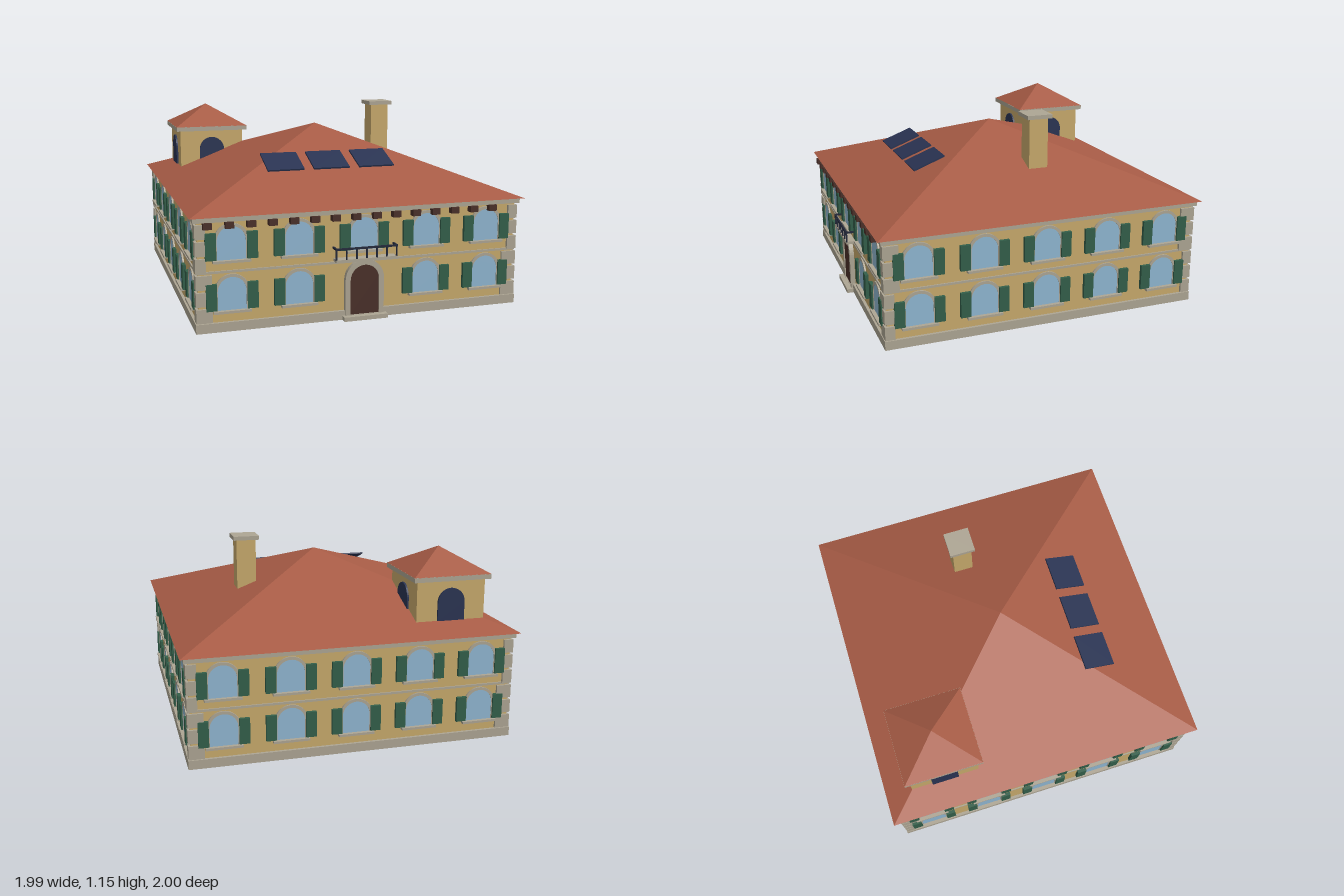
import * as THREE from 'three';

const mat = (name, color, extra = {}) => {
  const m = new THREE.MeshStandardMaterial({ color, ...extra });
  m.name = name;
  return m;
};

export function createModel() {
  const M = {
    wall: mat('ochre plaster', 0xc8aa6c),
    roof: mat('terracotta', 0xa85c46),
    stone: mat('pale stone', 0xaea694),
    glass: mat('window glass', 0x90b7d2),
    shutter: mat('green shutter', 0x335f4a),
    wood: mat('dark wood', 0x4a3029),
    navy: mat('dark blue', 0x2a3453),
    iron: mat('iron', 0x23293a),
  };
  const model = new THREE.Group();
  model.name = 'villa';
  const house = new THREE.Group();
  house.name = 'house';
  house.position.z = -0.007;
  model.add(house);

  const add = (parent, name, geo, material, x = 0, y = 0, z = 0) => {
    const m = new THREE.Mesh(geo, material);
    m.name = name;
    m.position.set(x, y, z);
    parent.add(m);
    return m;
  };
  // Box given by its centre in x and z and its lower and upper y
  const box = (parent, name, material, w, y0, y1, d, x = 0, z = 0) =>
    add(parent, name, new THREE.BoxGeometry(w, y1 - y0, d), material, x, (y0 + y1) / 2, z);
  // Four-sided roof with a closed base
  const pyramid = (parent, name, half, y0, y1, x = 0, z = 0) => {
    const g = new THREE.ConeGeometry(half * Math.SQRT2, y1 - y0, 4, 1).toNonIndexed();
    g.rotateY(Math.PI / 4);
    g.computeVertexNormals();
    return add(parent, name, g, M.roof, x, (y0 + y1) / 2, z);
  };
  // Round-headed outline: straight sides with a half circle on top
  const trace = (path, r, y0, top) => {
    path.moveTo(-r, y0);
    path.lineTo(r, y0);
    path.lineTo(r, top - r);
    path.absarc(0, top - r, r, 0, Math.PI, false);
    path.lineTo(-r, y0);
    return path;
  };
  const extrude = (shape, depth) =>
    new THREE.ExtrudeGeometry(shape, { depth, bevelEnabled: false, curveSegments: 12 });
  const archPlate = (r, y0, top, depth) => extrude(trace(new THREE.Shape(), r, y0, top), depth);
  const archRing = (ro, ri, y0, topO, topI, depth) => {
    const s = trace(new THREE.Shape(), ro, y0, topO);
    s.holes.push(trace(new THREE.Path(), ri, y0 + 0.002, topI));
    return extrude(s, depth);
  };

  // Main volume, plinth, belt course and cornice
  const W = 0.948;
  box(house, 'plinth', M.stone, 1.93, 0, 0.053, 1.93);
  box(house, 'walls', M.wall, 2 * W, 0.053, 0.616, 2 * W);
  box(house, 'beltCourse', M.stone, 1.912, 0.329, 0.342, 1.912);
  box(house, 'cornice', M.stone, 1.944, 0.615, 0.646, 1.944);
  pyramid(house, 'mainRoof', 0.993, 0.645, 1.024);

  // Corner quoins, long and short sides alternating
  for (const sx of [-1, 1]) for (const sz of [-1, 1]) {
    for (let i = 0; i < 6; i++) {
      const w = i % 2 ? 0.058 : 0.09, d = i % 2 ? 0.09 : 0.058, y = 0.056 + i * 0.0935;
      box(house, 'quoin', M.stone, w, y, y + 0.079, d, sx * (0.962 - w / 2), sz * (0.962 - d / 2));
    }
  }

  // Windows with arched surround, sill and shutters
  const frameGeo = archRing(0.097, 0.08, 0, 0.205, 0.188, 0.01);
  const glassGeo = archPlate(0.081, 0, 0.189, 0.006);
  const makeWindow = (parent, x, y) => {
    const g = new THREE.Group();
    g.name = 'window';
    g.position.set(x, y, W);
    parent.add(g);
    add(g, 'windowFrame', frameGeo, M.stone);
    add(g, 'windowGlass', glassGeo, M.glass);
    box(g, 'sill', M.stone, 0.21, -0.012, 0.002, 0.028, 0, 0.014);
    for (const s of [-1, 1]) box(g, 'shutter', M.shutter, 0.06, 0.005, 0.155, 0.02, s * 0.115, 0.01);
  };
  ['front', 'leftSide', 'back', 'rightSide'].forEach((name, k) => {
    const facade = new THREE.Group();
    facade.name = name + 'Facade';
    facade.rotation.y = k * Math.PI / 2;
    house.add(facade);
    for (let i = -2; i <= 2; i++) {
      makeWindow(facade, i * 0.381, 0.399);
      if (k !== 0 || i !== 0) makeWindow(facade, i * 0.381, 0.117);
    }
  });

  // Entrance
  add(house, 'doorSurround', archRing(0.116, 0.086, 0.025, 0.347, 0.316, 0.027), M.stone, 0, 0, W);
  add(house, 'door', archPlate(0.087, 0.025, 0.317, 0.02), M.wood, 0, 0, W);
  box(house, 'doorStep', M.stone, 0.262, 0, 0.025, 0.09, 0, 0.96);

  // Balcony with railing
  box(house, 'balconySlab', M.stone, 0.36, 0.345, 0.362, 0.06, 0, 0.975);
  box(house, 'frontRail', M.iron, 0.37, 0.417, 0.428, 0.01, 0, 1.001);
  for (let i = -3; i <= 3; i++) box(house, 'baluster', M.iron, 0.008, 0.36, 0.42, 0.008, i * 0.06, 1.001);
  for (const s of [-1, 1]) box(house, 'sideRail', M.iron, 0.01, 0.417, 0.428, 0.055, s * 0.18, 0.975);

  // Rafter ends under the front eaves
  for (let i = 0; i < 15; i++) {
    box(house, 'rafterEnd', M.wood, 0.048, 0.58, 0.616, 0.045, -0.895 + i * 0.1203, 0.965);
  }

  // Roof tower with an arched opening on each side
  const tower = new THREE.Group();
  tower.name = 'tower';
  tower.position.set(-0.613, 0, -0.613);
  house.add(tower);
  box(tower, 'towerWalls', M.wall, 0.424, 0.65, 0.952, 0.424);
  box(tower, 'towerCornice', M.stone, 0.478, 0.95, 0.979, 0.478);
  pyramid(tower, 'towerRoof', 0.24, 0.978, 1.116);
  const openingGeo = archPlate(0.083, 0.71, 0.904, 0.012);
  for (let k = 0; k < 4; k++) {
    const a = k * Math.PI / 2;
    add(tower, 'towerOpening', openingGeo, M.navy, Math.sin(a) * 0.211, 0, Math.cos(a) * 0.211).rotation.y = a;
  }

  // Chimney
  box(house, 'chimney', M.wall, 0.12, 0.82, 1.127, 0.12, 0.478, -0.118);
  box(house, 'chimneyCap', M.stone, 0.158, 1.126, 1.15, 0.158, 0.478, -0.118);

  // Solar panels parallel to the front roof slope
  const slope = Math.atan2(1.024 - 0.645, 0.993);
  for (const x of [-0.356, -0.075, 0.208]) {
    add(house, 'solarPanel', new THREE.BoxGeometry(0.222, 0.01, 0.207), M.navy, x, 0.853, 0.503).rotation.x = slope;
  }
  return model;
}
